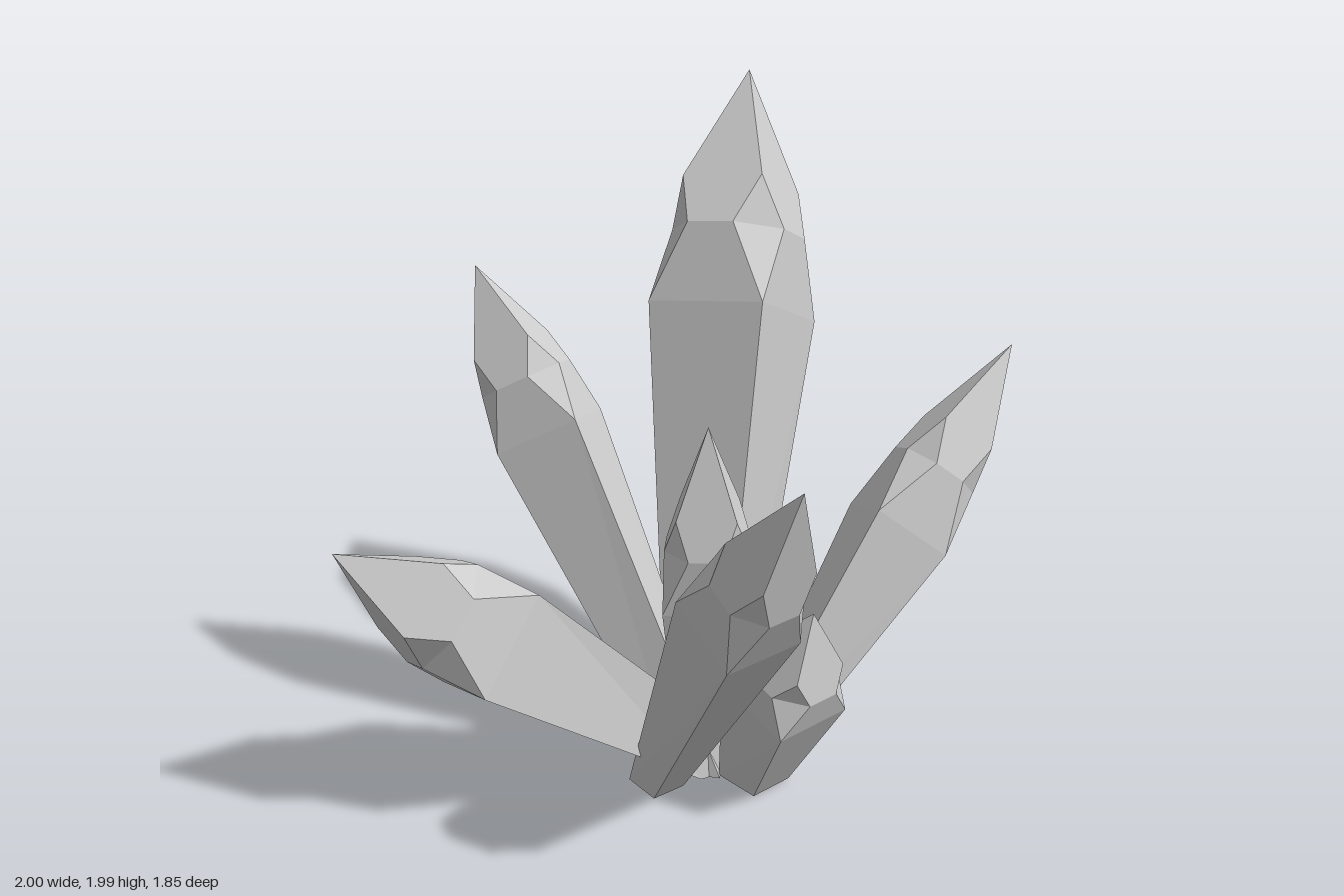
import * as THREE from 'three';

const material = new THREE.MeshStandardMaterial({ color: 0xcccccc, flatShading: true });

// Each crystal: base centre, tip, half width, roll in degrees, depth ratio, tip stretch, base taper
const crystals = [
  { name: 'tallBackCrystal', base: [0.03, 0, 0], tip: [0.12, 1.99, -0.9], half: 0.195, roll: 22, depth: 1.25 },
  { name: 'rightBackCrystal', base: [0.02, 0, 0.17], tip: [-0.71, 1.48, -0.31], half: 0.138, roll: 10 },
  { name: 'leftBackCrystal', base: [0.2, 0, 0.1], tip: [1, 1.16, -0.59], half: 0.135, roll: 86, stretch: 1.3, taper: 0.4 },
  { name: 'rightFrontCrystal', base: [0.06, 0, 0.14], tip: [-1, 0.87, 0.51], half: 0.168, roll: 37, stretch: 0.8 },
  { name: 'frontCrystal', base: [-0.11, 0, 0.28], tip: [0.32, 1.27, 0.92], half: 0.127, roll: -42, stretch: 1.12 },
  { name: 'smallFrontCrystal', base: [0.19, 0, 0.23], tip: [0.36, 0.67, 0.41], half: 0.135, roll: 45, stretch: 0.62, taper: 0.55 },
  { name: 'centreCrystal', base: [0.04, 0, 0.11], tip: [0.04, 1.12, 0.11], half: 0.13, roll: 0, stretch: 1.05, taper: 0.6 },
];

// Square tapered shaft, four-sided point, and a kite facet across each corner
function crystalGeometry({ base, tip, half, roll, depth = 1, stretch = 1, taper = 0.45 }) {
  const foot = new THREE.Vector3(...base);
  const apex = new THREE.Vector3(...tip);
  const axis = apex.clone().sub(foot).normalize();
  const angle = THREE.MathUtils.degToRad(roll);
  const u = new THREE.Vector3(Math.cos(angle), 0, Math.sin(angle));
  u.addScaledVector(axis, -u.dot(axis)).normalize();
  const v = axis.clone().cross(u);

  // Point at (x, y) half widths off the axis, turned by quarter turns, below the apex
  const at = (x, y, turn, drop) => {
    for (let i = 0; i < turn % 4; i++) [x, y] = [-y, x];
    return apex.clone()
      .addScaledVector(axis, -drop * half * stretch)
      .addScaledVector(u, x * half)
      .addScaledVector(v, y * half * depth);
  };
  const bottom = (turn) => {
    const p = at(taper, taper, turn, apex.distanceTo(foot) / (half * stretch));
    return p.addScaledVector(axis, -p.y / axis.y); // flat on the ground
  };
  const corner = (turn) => at(1, 1, turn, 4.1);
  const before = (turn) => at(1, 0.4, turn, 2.8);
  const after = (turn) => at(0.4, 1, turn, 2.8);
  const ridge = (turn) => at(0.7, 0.7, turn, 1.96);

  const positions = [];
  const face = (...points) => {
    for (let i = 1; i < points.length - 1; i++) {
      for (const p of [points[0], points[i], points[i + 1]]) positions.push(p.x, p.y, p.z);
    }
  };
  for (let i = 0; i < 4; i++) {
    const j = i + 1;
    face(bottom(i), bottom(j), corner(j), corner(i)); // shaft side
    face(corner(i), corner(j), before(j), after(i)); // shaft shoulder
    face(after(i), ridge(i), before(i), corner(i)); // corner facet
    face(apex, ridge(i), after(i), before(j), ridge(j)); // point
  }
  face(bottom(3), bottom(2), bottom(1), bottom(0));

  const geometry = new THREE.BufferGeometry();
  geometry.setAttribute('position', new THREE.Float32BufferAttribute(positions, 3));
  geometry.computeVertexNormals();
  return geometry;
}

export function createModel() {
  const group = new THREE.Group();
  group.name = 'crystalCluster';
  for (const crystal of crystals) {
    const mesh = new THREE.Mesh(crystalGeometry(crystal), material);
    mesh.name = crystal.name;
    group.add(mesh);
  }
  return group;
}
